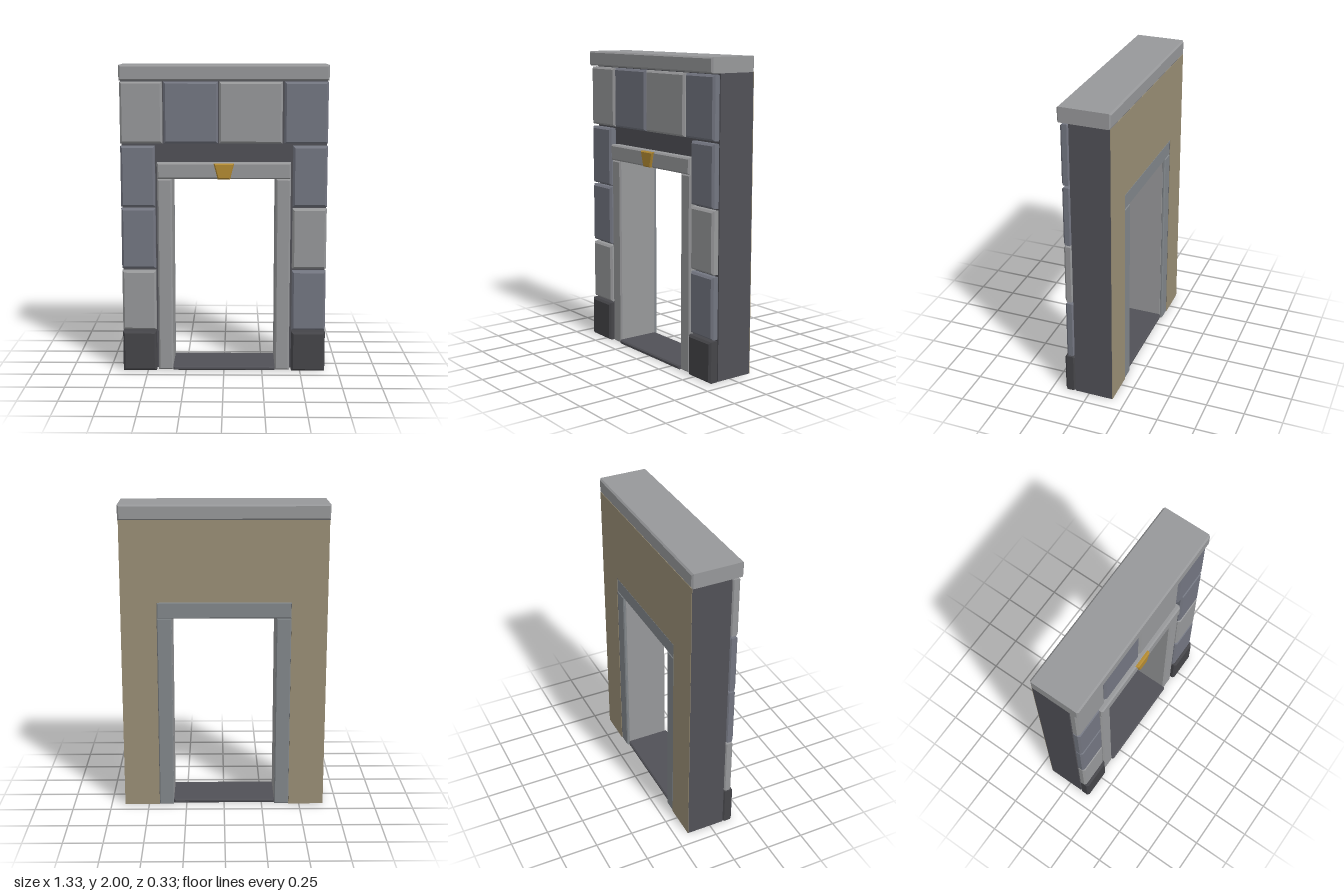
import * as THREE from 'three';

const mat = (name, color, side = THREE.FrontSide) => {
  const m = new THREE.MeshStandardMaterial({ color, side });
  m.name = name;
  return m;
};

export function createModel() {
  const group = new THREE.Group();
  const lightStone = mat('light stone', 0x97989a);
  const blueStone = mat('blue grey stone', 0x737681);
  const darkStone = mat('dark base stone', 0x454549);
  const wallDark = mat('dark wall', 0x515157);
  const plaster = mat('tan plaster', 0x9a8f76);
  const backTrim = mat('back trim grey', 0x82878b);
  const gold = mat('gold', 0xb38a32);

  const add = (name, geometry, material) => {
    const mesh = new THREE.Mesh(geometry, material);
    mesh.name = name;
    group.add(mesh);
    return mesh;
  };

  // Extrude an outline from z0 to z1; the chamfer stays inside the given size
  const extrude = (points, z0, z1, bevel = 0) => {
    const geo = new THREE.ExtrudeGeometry(new THREE.Shape(points.map(p => new THREE.Vector2(...p))), {
      depth: z1 - z0 - 2 * bevel, bevelEnabled: bevel > 0, bevelSegments: 1,
      bevelSize: bevel, bevelThickness: bevel, bevelOffset: -bevel,
    });
    return geo.translate(0, 0, z0 + bevel);
  };
  const slab = (x0, x1, y0, y1, z0, z1, bevel = 0) =>
    extrude([[x0, y0], [x1, y0], [x1, y1], [x0, y1]], z0, z1, bevel);

  // Wall around the doorway, with a plaster skin on the back
  const arch = [[-0.66, 0], [-0.43, 0], [-0.43, 1.38], [0.43, 1.38], [0.43, 0], [0.66, 0], [0.66, 1.905], [-0.66, 1.905]];
  add('wall', extrude(arch, -0.161, 0.095), wallDark);
  add('backPlaster', extrude(arch, -0.164, -0.161), plaster);

  // Cap stone
  add('capStone', slab(-0.665, 0.665, 1.903, 2, -0.166, 0.166, 0.01), lightStone);

  // Top course of facing blocks
  const course = [[-0.663, -0.393], [-0.385, -0.037], [-0.03, 0.373], [0.385, 0.663]];
  course.forEach(([x0, x1], i) =>
    add('topBlock', slab(x0, x1, 1.503, 1.895, 0.093, 0.15, 0.013), i % 2 ? blueStone : lightStone));

  // Side columns of facing blocks on darker base stones
  const rows = [[0.275, 0.672], [0.687, 1.083], [1.095, 1.487]];
  const columns = [
    [-0.663, -0.443, [lightStone, blueStone, blueStone]],
    [0.443, 0.663, [blueStone, lightStone, blueStone]],
  ];
  for (const [x0, x1, colours] of columns) {
    add('baseStone', slab(x0, x1, 0, 0.265, 0.093, 0.165, 0.013), darkStone);
    rows.forEach(([y0, y1], i) =>
      add('sideBlock', slab(x0, x1, y0, y1, 0.093, 0.15, 0.013), colours[i]));
  }

  // Door frame through the wall, with a separate trim on the back
  for (const s of [-1, 1]) {
    const [x0, x1] = s < 0 ? [-0.43, -0.335] : [0.335, 0.43];
    add('jamb', slab(x0, x1, 0, 1.275, -0.152, 0.143, 0.01), lightStone);
    add('backJamb', slab(x0, x1, 0, 1.275, -0.162, -0.14, 0.006), backTrim);
  }
  add('lintel', slab(-0.43, 0.43, 1.275, 1.38, -0.152, 0.152, 0.01), lightStone);
  add('backLintel', slab(-0.43, 0.43, 1.275, 1.38, -0.162, -0.14, 0.006), backTrim);

  // Keystone and threshold
  add('keystone', extrude([[-0.04, 1.276], [0.04, 1.276], [0.066, 1.377], [-0.066, 1.377]], 0.12, 0.166, 0.008), gold);
  add('threshold', slab(-0.335, 0.335, 0, 0.027, -0.15, 0.155, 0.008), wallDark);

  return group;
}
